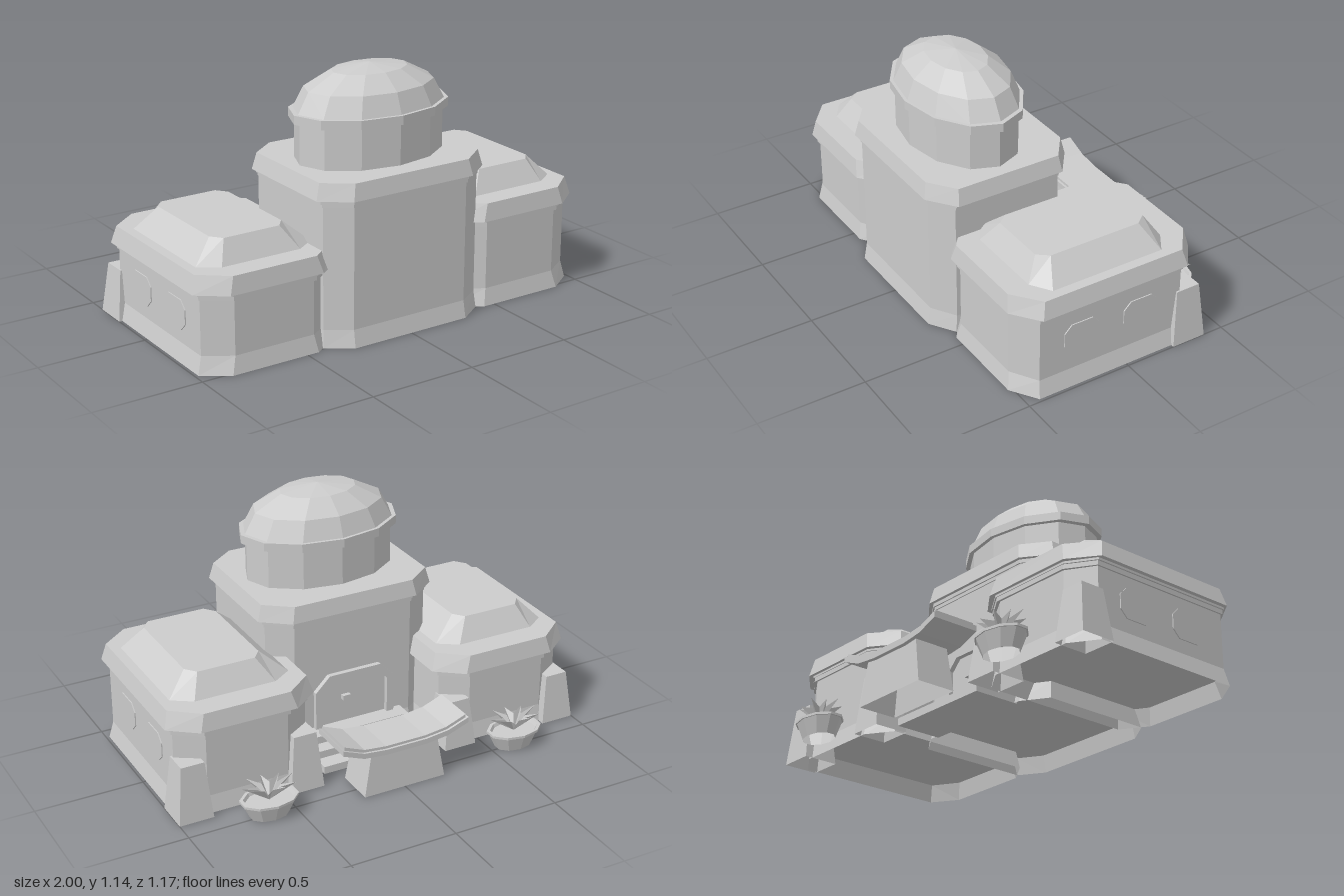
import * as THREE from 'three';

const stone = new THREE.MeshStandardMaterial({ color: 0xcccccc, flatShading: true, side: THREE.DoubleSide });
stone.name = 'grey stone';

function add(parent, name, geometry) {
  const mesh = new THREE.Mesh(geometry, stone);
  mesh.name = name;
  parent.add(mesh);
  return mesh;
}

function fromTriangles(pos) {
  const g = new THREE.BufferGeometry();
  g.setAttribute('position', new THREE.Float32BufferAttribute(pos, 3));
  g.computeVertexNormals();
  return g;
}

const points = list => list.map(([x, y]) => new THREE.Vector2(x, y));

// Solid through chamfered rectangles: [y, x0, x1, z0, z1, chamferX, chamferZ]
function loft(rings, capTop = true, capBottom = true) {
  const loops = rings.map(([y, x0, x1, z0, z1, cx = 0, cz = 0]) => {
    const pts = cx > 0
      ? [[x1, z0 + cz], [x1 - cx, z0], [x0 + cx, z0], [x0, z0 + cz],
         [x0, z1 - cz], [x0 + cx, z1], [x1 - cx, z1], [x1, z1 - cz]]
      : [[x1, z0], [x0, z0], [x0, z1], [x1, z1]];
    return pts.map(([x, z]) => [x, y, z]);
  });
  const pos = [];
  const tri = (a, b, c) => pos.push(...a, ...b, ...c);
  const n = loops[0].length;
  for (let r = 0; r < loops.length - 1; r++) {
    const a = loops[r], b = loops[r + 1];
    for (let i = 0; i < n; i++) {
      const j = (i + 1) % n;
      tri(a[i], a[j], b[j]);
      tri(a[i], b[j], b[i]);
    }
  }
  const lo = loops[0], hi = loops[loops.length - 1];
  for (let i = 1; i < n - 1; i++) {
    if (capTop) tri(hi[0], hi[i], hi[i + 1]);
    if (capBottom) tri(lo[0], lo[i + 1], lo[i]);
  }
  return fromTriangles(pos);
}

// Octagonal plate outline, w by h, centred
function octagon(w, h, c) {
  const x = w / 2, y = h / 2;
  return new THREE.Shape(points([[x, y - c], [x - c, y], [c - x, y], [-x, y - c],
    [-x, c - y], [c - x, -y], [x - c, -y], [x, c - y]]));
}

const extrude = (shape, depth) => new THREE.ExtrudeGeometry(shape, { depth, bevelEnabled: false });

// Side wing; s is +1 for left (+x), dy lowers the roof
function wing(s, dy) {
  const g = new THREE.Group();
  g.name = s > 0 ? 'leftWing' : 'rightWing';
  const ring = (y, a, b, z0, z1, cx, cz) => [y, Math.min(s * a, s * b), Math.max(s * a, s * b), z0, z1, cx, cz];
  const e = 0.41 - dy;
  add(g, 'wingPlinth', loft([
    ring(0, 0.325, 0.985, -0.37, 0.52, 0.12, 0.08),
    ring(0.08, 0.34, 0.965, -0.357, 0.505, 0.12, 0.075)], false, false));
  add(g, 'wingWalls', loft([
    ring(0.08, 0.34, 0.965, -0.357, 0.505, 0.12, 0.075),
    ring(e - 0.025, 0.34, 0.965, -0.357, 0.505, 0.12, 0.075)]));
  add(g, 'wingMoulding', loft([
    ring(e - 0.03, 0.33, 0.973, -0.367, 0.515, 0.12, 0.08),
    ring(e - 0.01, 0.33, 0.973, -0.367, 0.515, 0.12, 0.08),
    ring(e - 0.01, 0.325, 0.98, -0.37, 0.517, 0.12, 0.08),
    ring(e, 0.325, 0.98, -0.37, 0.517, 0.12, 0.08)]));
  add(g, 'wingEave', loft([
    ring(e, 0.30, 1.0, -0.385, 0.53, 0.125, 0.095),
    ring(e + 0.08, 0.325, 0.98, -0.37, 0.517, 0.125, 0.1)]));
  add(g, 'wingRoof', loft([
    ring(e + 0.08, 0.375, 0.935, -0.255, 0.41, 0.09, 0.06),
    ring(e + 0.18, 0.49, 0.84, -0.19, 0.35, 0.04, 0.05)]));

  // Tapered buttresses at the two rear corners
  const h = 0.265 - dy * 0.7;
  for (const [a, b] of [[0.84, 1.0], [0.31, 0.47]])
    add(g, 'buttress', loft([
      ring(0, a, b, -0.405, -0.24),
      ring(h, a + 0.025, b - 0.027, -0.38, -0.264)], true, false));

  // Outer windows
  for (const z of [0.222, -0.077]) {
    const w = add(g, 'window', extrude(octagon(0.175, 0.135, 0.035), 0.007));
    w.rotation.y = s * Math.PI / 2;
    w.position.set(s * 0.963, 0.24 - dy * 0.6, z);
  }
  return g;
}

// Oval planter with a star of pointed leaves
function planter(x) {
  const g = new THREE.Group();
  g.name = 'planter';
  const profile = [[0.062, 0], [0.086, 0.074], [0.091, 0.074], [0.091, 0.085], [0.08, 0.085], [0.074, 0.07], [0, 0.07]];
  add(g, 'pot', new THREE.LatheGeometry(points(profile), 10));
  const pos = [];
  const count = 9;
  for (let i = 0; i < count; i++) {
    const at = (k, r, y) => {
      const t = (i + k) / count * Math.PI * 2;
      return [Math.sin(t) * r, y, Math.cos(t) * r];
    };
    const base = [0, 0.07, 0], tip = at(0, 0.083, i % 2 ? 0.162 : 0.147);
    pos.push(...base, ...tip, ...at(-0.5, 0.036, 0.135), ...base, ...at(0.5, 0.036, 0.135), ...tip);
  }
  add(g, 'leaves', fromTriangles(pos));
  g.scale.x = 1.48;
  g.position.set(x, 0, -0.49);
  return g;
}

export function createModel() {
  const model = new THREE.Group();
  model.name = 'domedBuilding';
  model.add(wing(1, 0), wing(-1, 0.052));

  // Central hall
  const hall = new THREE.Group();
  hall.name = 'centralHall';
  model.add(hall);
  const sym = (y, x, z0, z1, cx, cz) => [y, -x, x, z0, z1, cx, cz];
  add(hall, 'hallPlinth', loft([
    sym(0, 0.41, -0.11, 0.575, 0.115, 0.075),
    sym(0.08, 0.403, -0.095, 0.56, 0.11, 0.07)], false, false));
  add(hall, 'hallWalls', loft([
    sym(0.08, 0.403, -0.095, 0.56, 0.11, 0.07),
    sym(0.635, 0.403, -0.095, 0.56, 0.11, 0.07)]));
  add(hall, 'hallMoulding', loft([
    sym(0.632, 0.408, -0.1, 0.565, 0.11, 0.075),
    sym(0.648, 0.408, -0.1, 0.565, 0.11, 0.075),
    sym(0.648, 0.415, -0.106, 0.57, 0.115, 0.08),
    sym(0.665, 0.415, -0.106, 0.57, 0.115, 0.08)]));
  add(hall, 'hallEave', loft([
    sym(0.665, 0.435, -0.122, 0.585, 0.125, 0.095),
    sym(0.74, 0.415, -0.108, 0.57, 0.12, 0.09)]));

  // Oval drum, rim and faceted dome
  const dome = new THREE.Group();
  dome.name = 'dome';
  const profile = [[0.238, 0.738], [0.238, 0.925], [0.256, 0.925], [0.256, 0.965], [0.242, 0.965],
    [0.208, 1.055], [0.122, 1.122], [0, 1.145]];
  add(dome, 'drumAndDome', new THREE.LatheGeometry(points(profile), 12));
  dome.scale.x = 1.5;
  dome.position.z = 0.24;
  model.add(dome);

  // Rear doorway: angular surround, door leaf and small handle plate
  const surround = new THREE.Shape(points([[-0.2, 0.1], [-0.2, 0.29], [-0.13, 0.36], [0.13, 0.36], [0.2, 0.29],
    [0.2, 0.1], [0.165, 0.1], [0.165, 0.28], [0.115, 0.33], [-0.115, 0.33], [-0.165, 0.28], [-0.165, 0.1]]));
  add(hall, 'doorSurround', extrude(surround, 0.025)).position.z = -0.118;
  add(hall, 'doorHandle', new THREE.BoxGeometry(0.04, 0.022, 0.02)).position.set(0.04, 0.23, -0.105);

  // Rear steps
  [[0.265, -0.32], [0.255, -0.245], [0.245, -0.18]].forEach(([x, z], i) =>
    add(model, 'step', loft([sym(0, x, z, -0.095), sym(0.035 * (i + 1), x, z, -0.095)])));

  // Counter with a sagging two-layer top
  add(model, 'counterBase', loft([sym(0, 0.2, -0.575, -0.39), sym(0.2, 0.165, -0.565, -0.4)], true, false));
  const curve = [[-0.312, 0.243], [-0.21, 0.205], [-0.1, 0.192], [0.1, 0.192], [0.21, 0.203], [0.312, 0.243]];
  const layer = (name, sx, y0, y1, z0, z1) => {
    const outline = [...curve.map(([x, y]) => [x * sx, y + y0]),
      ...curve.slice().reverse().map(([x, y]) => [x * sx, y + y1])];
    add(model, name, extrude(new THREE.Shape(points(outline)), z1 - z0)).position.z = z0;
  };
  layer('counterTop', 1, 0, 0.025, -0.585, -0.36);
  layer('counterInlay', 0.97, 0.02, 0.037, -0.574, -0.371);

  model.add(planter(0.62), planter(-0.62));
  return model;
}
